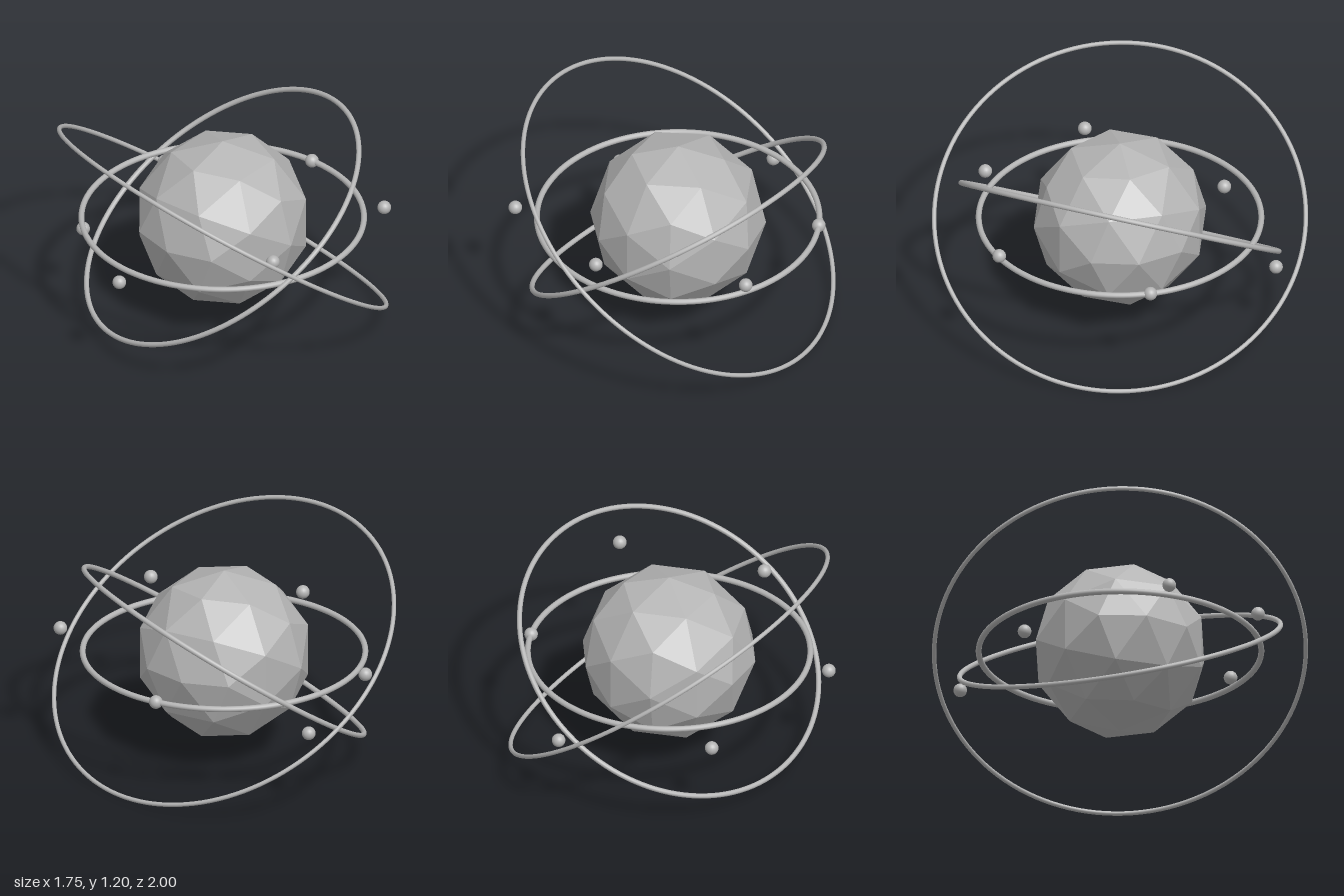
import * as THREE from 'three';

const CENTER = new THREE.Vector3(0.04, 0.6, 0);

export function createModel() {
  const model = new THREE.Group();
  model.name = 'orbitalGlobe';
  const grey = new THREE.MeshStandardMaterial({ color: 0xb4b4b4 });
  grey.name = 'plain grey';

  const assembly = new THREE.Group();
  assembly.name = 'globeAndOrbits';
  assembly.position.copy(CENTER);
  model.add(assembly);

  function add(name, geometry, parent = assembly) {
    const mesh = new THREE.Mesh(geometry, grey);
    mesh.name = name;
    parent.add(mesh);
    return mesh;
  }

  // Faceted globe (polyhedron with detail 1 shares no vertices: facet normals)
  const globe = new THREE.IcosahedronGeometry(0.475, 1);
  globe.computeVertexNormals();
  add('globe', globe);

  // Orbit rings: each is a thin torus turned to face its plane normal
  const rings = [
    { name: 'levelRing', radius: 0.76, tube: 0.016, normal: [0, 1, 0] },
    { name: 'middleRing', radius: 0.875, tube: 0.014, normal: [-0.473, 0.82, -0.32] },
    { name: 'outerRing', radius: 1.0, tube: 0.012, normal: [0.568, 0.809, 0.15] },
  ];
  const torusAxis = new THREE.Vector3(0, 0, 1);
  for (const { name, radius, tube, normal } of rings) {
    const ring = add(name, new THREE.TorusGeometry(radius, tube, 12, 128));
    ring.quaternion.setFromUnitVectors(torusAxis, new THREE.Vector3(...normal).normalize());
  }

  // Six small moons at alternating distances, rising and falling around the globe
  const moons = new THREE.Group();
  moons.name = 'moons';
  assembly.add(moons);
  const moonGeometry = new THREE.SphereGeometry(0.037, 20, 14);
  for (let i = 0; i < 6; i++) {
    const angle = (i * Math.PI) / 3;
    const distance = i % 2 ? 0.88 : 0.76;
    add('moon' + (i + 1), moonGeometry, moons).position.set(
      Math.cos(angle) * distance, Math.sin(angle) * 0.167, Math.sin(angle) * distance);
  }

  return model;
}
